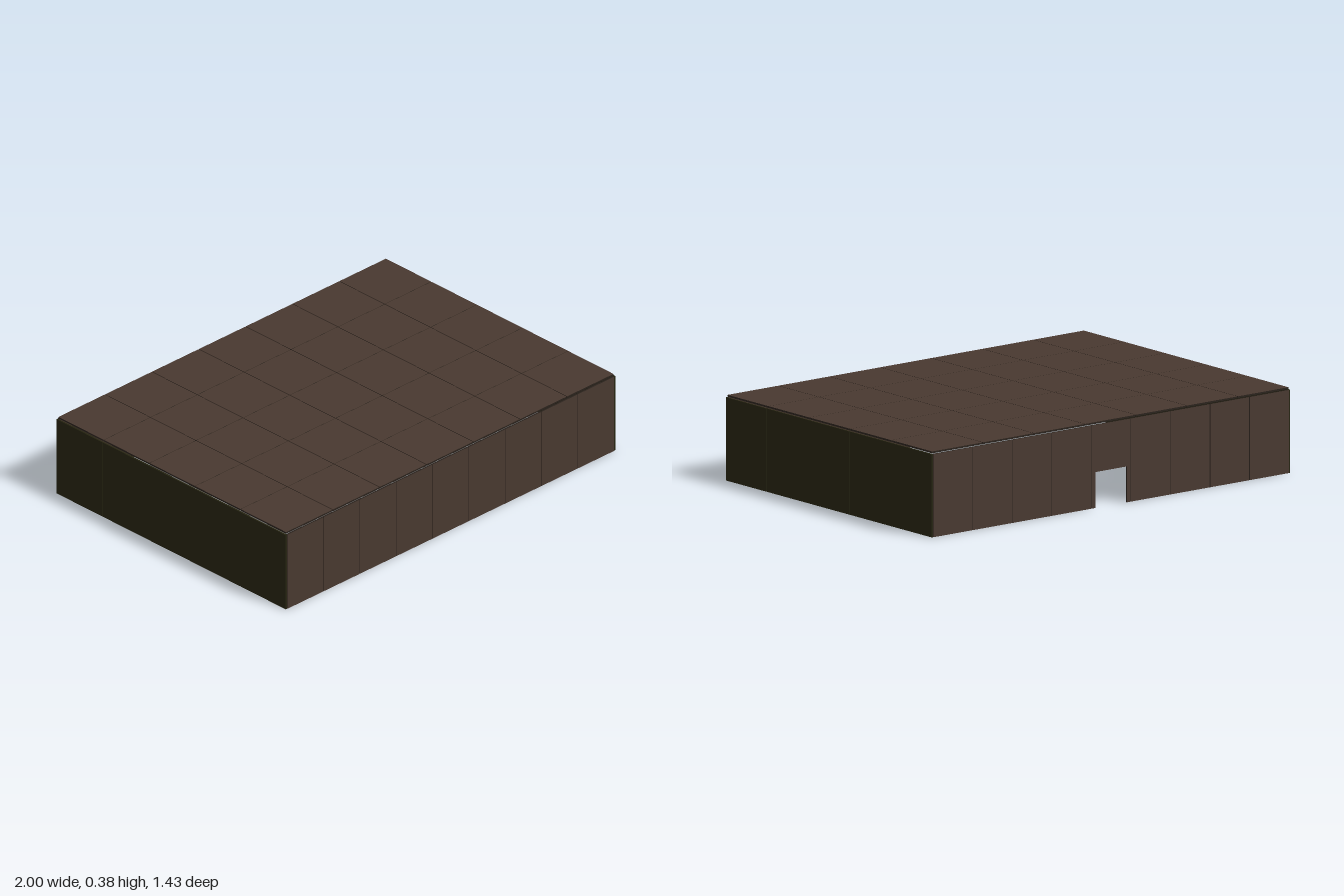
import * as THREE from 'three';

const W = 2, D = 1.426, H = 0.37, T = 0.008, GAP = 0.003;

export function createModel() {
  const brown = new THREE.MeshStandardMaterial({ color: 0x48382f });
  brown.name = 'brown panel';
  const olive = new THREE.MeshStandardMaterial({ color: 0x252310 });
  olive.name = 'olive panel';
  const dark = new THREE.MeshStandardMaterial({ color: 0x2a221c });
  dark.name = 'dark edge';

  const model = new THREE.Group();
  model.name = 'room';

  // Thin upright panel centred on x and z, standing on y = 0, with an optional doorway
  function panel(width, height, face, edge, door) {
    const w = width / 2;
    const pts = [[w, 0], [w, height], [-w, height], [-w, 0]];
    if (door) pts.push([-door.w, 0], [-door.w, door.h], [door.w, door.h], [door.w, 0]);
    const shape = new THREE.Shape(pts.map(([x, y]) => new THREE.Vector2(x, y)));
    const geo = new THREE.ExtrudeGeometry(shape, { depth: T, bevelEnabled: false });
    geo.translate(0, 0, -T / 2);
    return new THREE.Mesh(geo, [face, edge]);
  }

  // Row of equal panels with narrow dark seams
  function wall(name, length, count, face, edge, doorIndex = -1) {
    const group = new THREE.Group();
    group.name = name;
    const step = length / count;
    for (let i = 0; i < count; i++) {
      const x = (i + 0.5) * step - length / 2;
      const p = panel(step - GAP, H, face, edge, i === doorIndex ? { w: 0.088, h: 0.16 } : null);
      p.name = i === doorIndex ? 'doorPanel' : 'wallPanel';
      p.position.x = x;
      group.add(p);
      if (i > 0) {
        const seam = new THREE.Mesh(new THREE.BoxGeometry(GAP, H, T * 0.7), edge);
        seam.name = 'seam';
        seam.position.set(x - step / 2, H / 2, 0);
        group.add(seam);
      }
    }
    model.add(group);
    return group;
  }

  // Front and back walls sit between the side walls
  wall('frontWall', W - 2 * T, 9, brown, dark).position.z = D / 2 - T / 2;
  wall('backWall', W - 2 * T, 9, brown, dark, 4).position.z = -D / 2 + T / 2;
  for (const s of [1, -1]) {
    const side = wall(s > 0 ? 'leftWall' : 'rightWall', D, 5, olive, olive);
    side.position.x = s * (W / 2 - T / 2);
    side.rotation.y = s * Math.PI / 2;
  }

  // Ceiling of 7 x 5 tiles, raised a hair above the walls
  const ceiling = new THREE.Group();
  ceiling.name = 'ceiling';
  const cw = (W - 0.01) / 7, cd = (D - 0.01) / 5;
  for (let i = 0; i < 7; i++) {
    for (let j = 0; j < 5; j++) {
      const tile = panel(cw - GAP, cd - 0.002, brown, dark);
      tile.name = 'ceilingTile';
      tile.rotation.x = -Math.PI / 2;
      tile.position.set((i - 3) * cw, H + 0.003 + T / 2, (j - 2) * cd + cd / 2 - 0.001);
      ceiling.add(tile);
    }
  }
  model.add(ceiling);
  return model;
}
